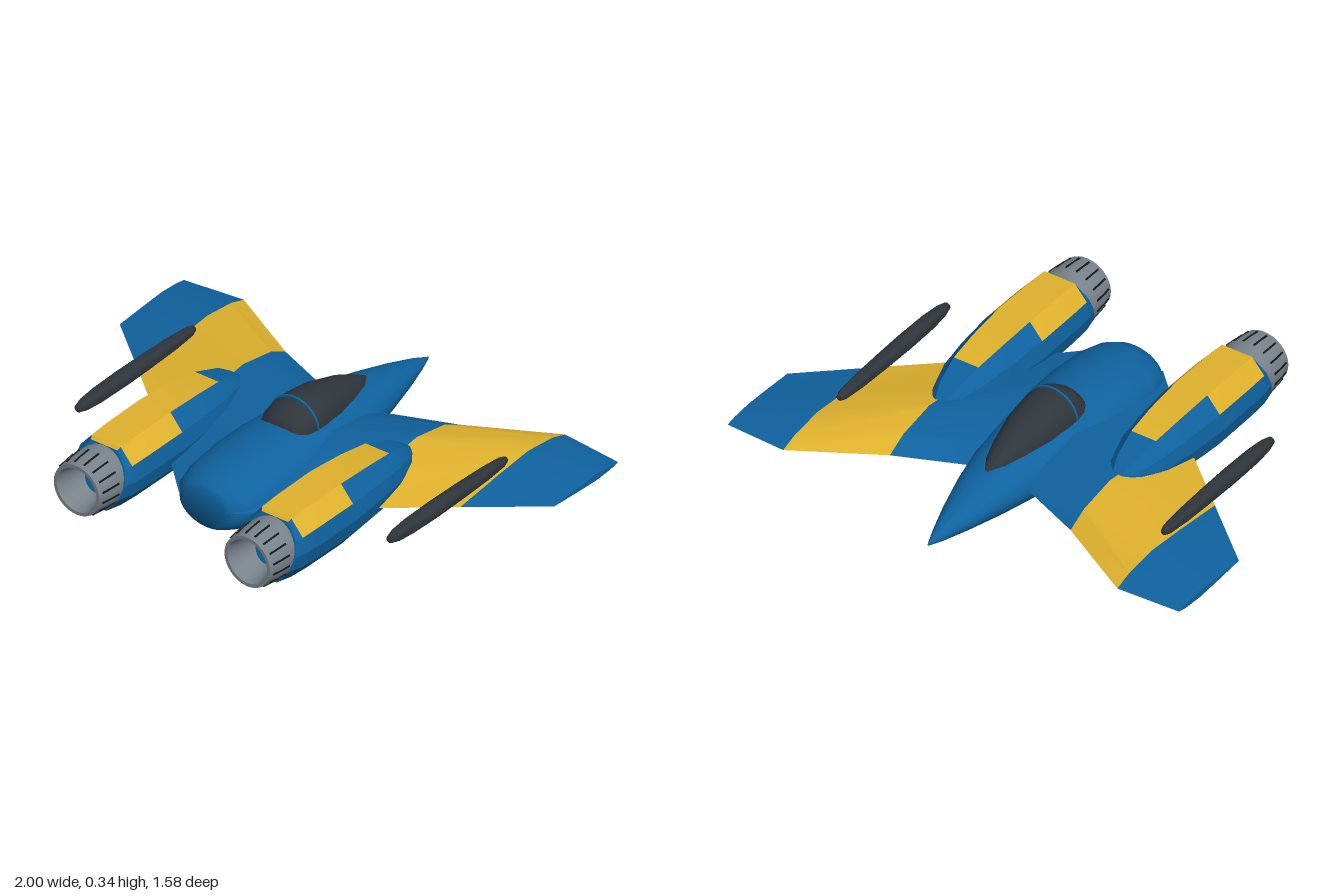
import * as THREE from 'three';
import { toCreasedNormals } from 'three/addons/utils/BufferGeometryUtils.js';

const mat = (name, color) => {
  const m = new THREE.MeshStandardMaterial({ color });
  m.name = name;
  return m;
};

// Skins a list of equal-length rings and caps both ends.
// paint(section, facet) picks the material index of each quad.
function loft(rings, crease, paint = () => 0) {
  const n = rings[0].length;
  const lists = [[], []];
  for (let i = 0; i < rings.length - 1; i++) {
    for (let j = 0; j < n; j++) {
      const k = (j + 1) % n;
      const a = i * n + j, b = i * n + k, c = b + n, d = a + n;
      lists[paint(i, j)].push(a, b, d, b, c, d);
    }
  }
  const end = (rings.length - 1) * n;
  for (let j = 1; j < n - 1; j++) lists[0].push(0, j + 1, j, end, end + j, end + j + 1);
  const g = new THREE.BufferGeometry();
  g.setAttribute('position', new THREE.Float32BufferAttribute(rings.flat(2), 3));
  g.setIndex(lists.flat());
  g.addGroup(0, lists[0].length, 0);
  if (lists[1].length) g.addGroup(lists[0].length, lists[1].length, 1);
  return toCreasedNormals(g, crease);
}

// Elliptical ring across z
function ellipse([z, halfWidth, bottom, top], n = 32) {
  return Array.from({ length: n }, (_, j) => {
    const t = (j / n) * Math.PI * 2;
    return [Math.cos(t) * halfWidth, (top + bottom) / 2 + Math.sin(t) * (top - bottom) / 2, z];
  });
}

// Turned shape along z from [radius, z] points
function turned(points, segments, crease) {
  const g = new THREE.LatheGeometry(points.map(([r, z]) => new THREE.Vector2(r, z)), segments);
  g.rotateX(Math.PI / 2);
  return toCreasedNormals(g, crease);
}

export function createModel() {
  const model = new THREE.Group();
  model.name = 'spacecraft';
  const blue = mat('hull blue', 0x0f629f);
  const yellow = mat('stripe yellow', 0xdfb22d);
  const dark = mat('canopy dark grey', 0x2e353b);
  const grey = mat('nozzle grey', 0x78828a);
  const black = mat('slot black', 0x15181b);

  const add = (parent, name, geometry, material) => {
    const m = new THREE.Mesh(geometry, material);
    m.name = name;
    parent.add(m);
    return m;
  };

  // Fuselage: z, half width, bottom, top
  const hull = [
    [-0.79, 0.003, 0.108, 0.116], [-0.72, 0.03, 0.09, 0.143], [-0.6, 0.07, 0.07, 0.178],
    [-0.45, 0.112, 0.047, 0.215], [-0.3, 0.145, 0.028, 0.242], [-0.1, 0.175, 0.01, 0.262],
    [0.1, 0.192, 0.001, 0.27], [0.25, 0.195, 0.001, 0.268], [0.4, 0.183, 0.012, 0.255],
    [0.48, 0.16, 0.028, 0.238], [0.52, 0.125, 0.042, 0.22], [0.53, 0.1, 0.055, 0.205],
  ];
  add(model, 'fuselage', loft(hull.map((s) => ellipse(s)), 0.7), blue);

  // Canopy with a thin frame arch
  const glass = [
    [-0.42, 0.01, 0.2, 0.222], [-0.36, 0.045, 0.17, 0.255], [-0.28, 0.07, 0.15, 0.29],
    [-0.15, 0.098, 0.14, 0.326], [-0.05, 0.108, 0.13, 0.338], [0, 0.11, 0.13, 0.337],
    [0.05, 0.108, 0.13, 0.322], [0.09, 0.095, 0.14, 0.295], [0.105, 0.08, 0.16, 0.27],
  ];
  add(model, 'canopy', loft(glass.map((s) => ellipse(s)), 0.7), dark);
  add(model, 'canopyArch', loft([-0.004, 0.004].map((z) => ellipse([z, 0.112, 0.13, 0.343])), 0.5), blue);

  // Wing stations: x, leading z, trailing z, centre y, half thickness
  const stations = [
    [0.12, -0.345, 0.53, 0.15, 0.073], [0.4, -0.46, 0.26, 0.147, 0.073],
    [0.74, -0.65, -0.03, 0.142, 0.04], [1, -0.63, -0.25, 0.135, 0.014],
  ];
  // Aerofoil: chord fraction, height, over the top and back underneath
  const foil = [
    [0, 0], [0.12, 0.6], [0.35, 1], [0.65, 0.6],
    [1, 0], [0.65, -0.6], [0.35, -1], [0.12, -0.6],
  ];
  const wingNames = ['wingRoot', 'wingStripe', 'wingTip'];

  // Engine facets and stations: z, scale
  const facets = [
    [0.14, 0], [0.125, 0.065], [0.07, 0.13], [-0.07, 0.13], [-0.125, 0.065],
    [-0.14, 0], [-0.125, -0.065], [-0.07, -0.13], [0.07, -0.13], [0.125, -0.065],
  ];
  const engineStations = [
    [-0.175, 0.08], [-0.15, 0.28], [-0.1, 0.52], [0.015, 0.78], [0.15, 0.91],
    [0.32, 1], [0.52, 0.99], [0.61, 0.96], [0.655, 0.87],
  ];
  const engineRings = engineStations.map(([z, s], i) => facets.map(([x, y]) => [
    x * s, y * s, i === engineStations.length - 1 ? z - 0.3 * y * s : z, // slanted rear edge
  ]));
  const enginePaint = (i, j) =>
    (j === 2 && i >= 3) || ((j === 1 || j === 3) && i >= 5 && i < 7) ? 1 : 0;
  const engineGeo = loft(engineRings, 0.3, enginePaint);

  const nozzleGeo = turned([
    [0.108, 0.58], [0.117, 0.68], [0.114, 0.73], [0.105, 0.785],
    [0.091, 0.785], [0.062, 0.66], [0, 0.66],
  ], 32, 0.5);
  const slotGeo = new THREE.BoxGeometry(0.007, 0.008, 0.085);

  const podGeo = turned([
    [0, -0.33], [0.012, -0.325], [0.02, -0.3], [0.027, -0.2], [0.031, -0.05], [0.033, 0.1],
    [0.031, 0.24], [0.025, 0.32], [0.015, 0.36], [0, 0.37],
  ], 20, 0.9);

  for (const side of [1, -1]) {
    const label = side > 0 ? 'left' : 'right';

    // Wing in three coloured panels
    const wing = new THREE.Group();
    wing.name = label + 'Wing';
    model.add(wing);
    const rings = stations.map(([x, lead, trail, y, h]) =>
      foil.map(([c, t]) => [x * side, y + t * h, lead + (trail - lead) * c]));
    wingNames.forEach((name, i) => {
      const pair = [rings[i], rings[i + 1]];
      if (side < 0) pair.reverse();
      add(wing, name, loft(pair, 0.35), i === 1 ? yellow : blue);
    });

    // Engine with nozzle and slots
    const engine = new THREE.Group();
    engine.name = label + 'Engine';
    engine.position.set(0.393 * side, 0.18, 0);
    model.add(engine);
    add(engine, 'engineBody', engineGeo, [blue, yellow]);
    add(engine, 'nozzle', nozzleGeo, grey);
    for (let k = 0; k < 16; k++) {
      const a = ((k + 0.5) / 16) * Math.PI * 2;
      const slot = add(engine, 'nozzleSlot', slotGeo, black);
      slot.position.set(Math.sin(a) * 0.112, Math.cos(a) * 0.112, 0.725);
      slot.rotation.set(0.1, 0, -a, 'ZYX');
    }

    // Wing pod
    add(model, label + 'Pod', podGeo, dark).position.set(0.718 * side, 0.19, 0);
  }
  return model;
}
